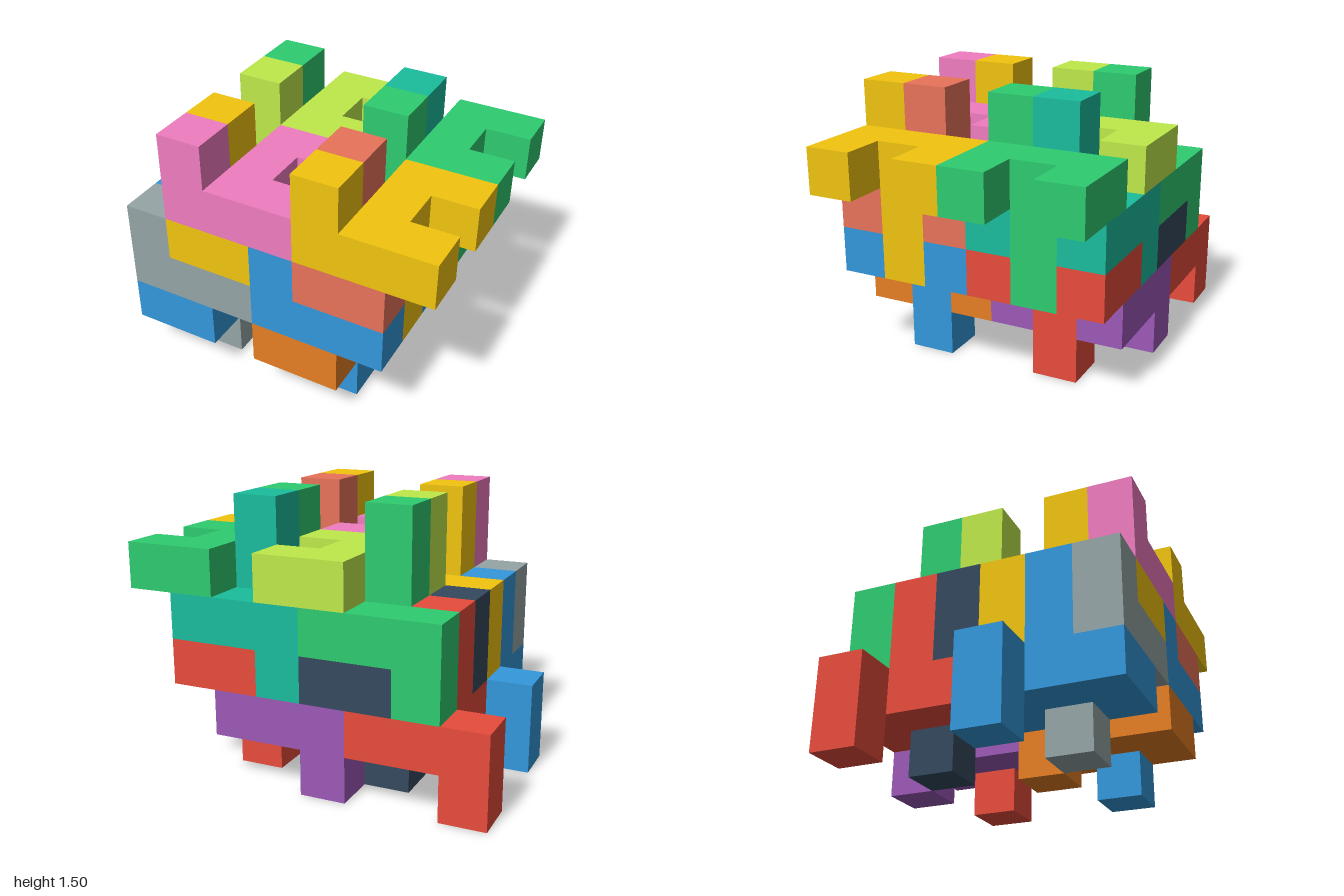
import * as THREE from 'three';
import { mergeGeometries } from 'three/addons/utils/BufferGeometryUtils.js';

const CELL = 0.25;

// One puzzle piece in cell units: hooked C-shaped plate with a long peg below
function pieceGeometry() {
  const outline = [
    [-1.5, -1.5], [1.5, -1.5], [1.5, -0.5], [0.5, -0.5], [0.5, 0.5],
    [1.5, 0.5], [1.5, 1.5], [-0.5, 1.5], [-0.5, -0.5], [-1.5, -0.5],
  ].map(([x, y]) => new THREE.Vector2(x, y));
  const plate = new THREE.ExtrudeGeometry(new THREE.Shape(outline), { depth: 1, bevelEnabled: false });
  plate.rotateX(-Math.PI / 2).translate(0, -0.5, 0);
  const hook = new THREE.BoxGeometry(1, 1, 1).translate(-1, 1, 1).toNonIndexed();
  const peg = new THREE.BoxGeometry(1, 2, 1).translate(0, -1.5, 0).toNonIndexed();
  return mergeGeometries([plate, hook, peg]).scale(CELL, CELL, CELL);
}

// Column and row of each plate centre, whether it is turned over,
// and its colour in the front and back blocks
const PIECES = [
  ['bottomOuterPiece', 1, 1, true, 0x3498db, 0xe74c3c],
  ['bottomInnerPiece', 4, 1, true, 0xe67e22, 0x9b59b6],
  ['lowerOuterPiece', 2, 2, false, 0x95a5a6, 0x34495e],
  ['lowerInnerPiece', 5, 2, false, 0x3498db, 0xe74c3c],
  ['upperOuterPiece', 2, 3, true, 0xf1c40f, 0x2ecc71],
  ['upperInnerPiece', 5, 3, true, 0xe8735a, 0x1abc9c],
  ['topInnerPiece', 3, 4, false, 0xf07cc0, 0xbfe94a],
  ['topOuterPiece', 6, 4, false, 0xf1c40f, 0x2ecc71],
];

export function createModel() {
  const model = new THREE.Group();
  model.name = 'interlockingPuzzle';
  const geometry = pieceGeometry();

  // Two identical blocks, one behind the other
  [['frontBlock', 0.375], ['backBlock', -0.375]].forEach(([blockName, z], b) => {
    const block = new THREE.Group();
    block.name = blockName;
    block.position.z = z;
    for (const [name, col, row, turned, ...colors] of PIECES) {
      const material = new THREE.MeshStandardMaterial({ color: colors[b], flatShading: true });
      const piece = new THREE.Mesh(geometry, material);
      piece.name = name;
      piece.position.set((col + 0.5) * CELL - 1, (row + 0.5) * CELL, 0);
      if (turned) piece.rotation.x = Math.PI;
      block.add(piece);
    }
    model.add(block);
  });
  return model;
}
